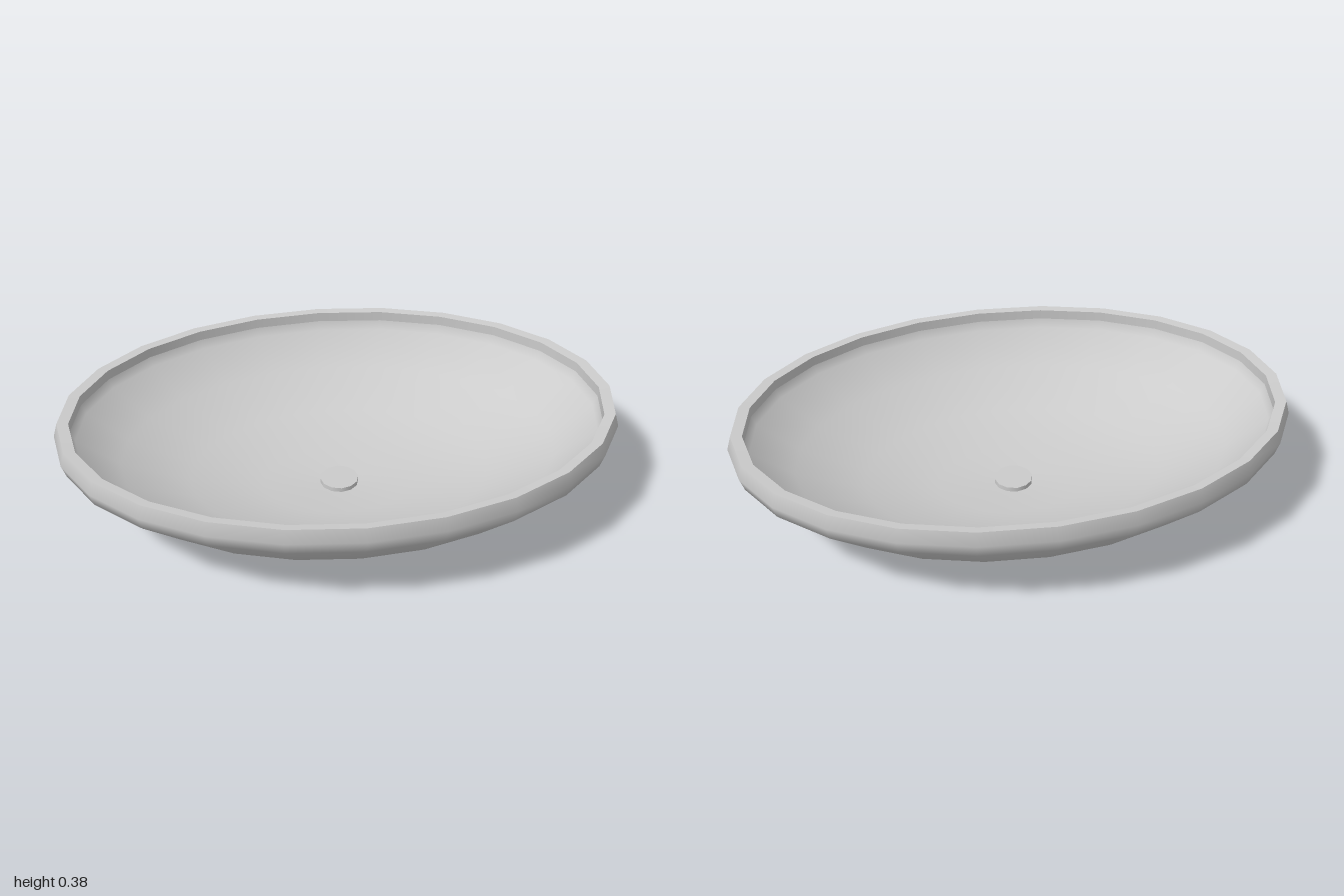
import * as THREE from 'three';

const SEGMENTS = 24;
const DEPTH = 0.705; // oval: depth relative to width

// Oval band turned from a profile of [radius, height] points
function ovalBand(name, profile, material) {
  const points = profile.map(([r, y]) => new THREE.Vector2(r, y));
  const geometry = new THREE.LatheGeometry(points, SEGMENTS);
  geometry.scale(1, 1, DEPTH);
  const mesh = new THREE.Mesh(geometry, material);
  mesh.name = name;
  return mesh;
}

export function createModel() {
  const group = new THREE.Group();
  group.name = 'ovalBasin';
  const material = new THREE.MeshStandardMaterial({ color: 0xcccccc });

  // Outside of the bowl, bottom to top
  group.add(ovalBand('outerShell', [
    [0, 0], [0.29, 0.012], [0.565, 0.063], [0.82, 0.163],
    [0.985, 0.29], [1, 0.335], [0.985, 0.385],
  ], material));

  // Flat rim and the short upright lip inside it
  group.add(ovalBand('rim', [[0.985, 0.385], [0.945, 0.382]], material));
  group.add(ovalBand('innerLip', [[0.945, 0.382], [0.945, 0.345]], material));

  // Inside of the bowl, top to bottom
  group.add(ovalBand('innerBowl', [
    [0.945, 0.345], [0.93, 0.31], [0.785, 0.197], [0.545, 0.102],
    [0.28, 0.055], [0, 0.045],
  ], material));

  // Round drain cover in the middle of the floor
  const drain = new THREE.Mesh(
    new THREE.CylinderGeometry(0.07, 0.07, 0.04, 12), material);
  drain.name = 'drain';
  drain.position.y = 0.045;
  group.add(drain);

  return group;
}
